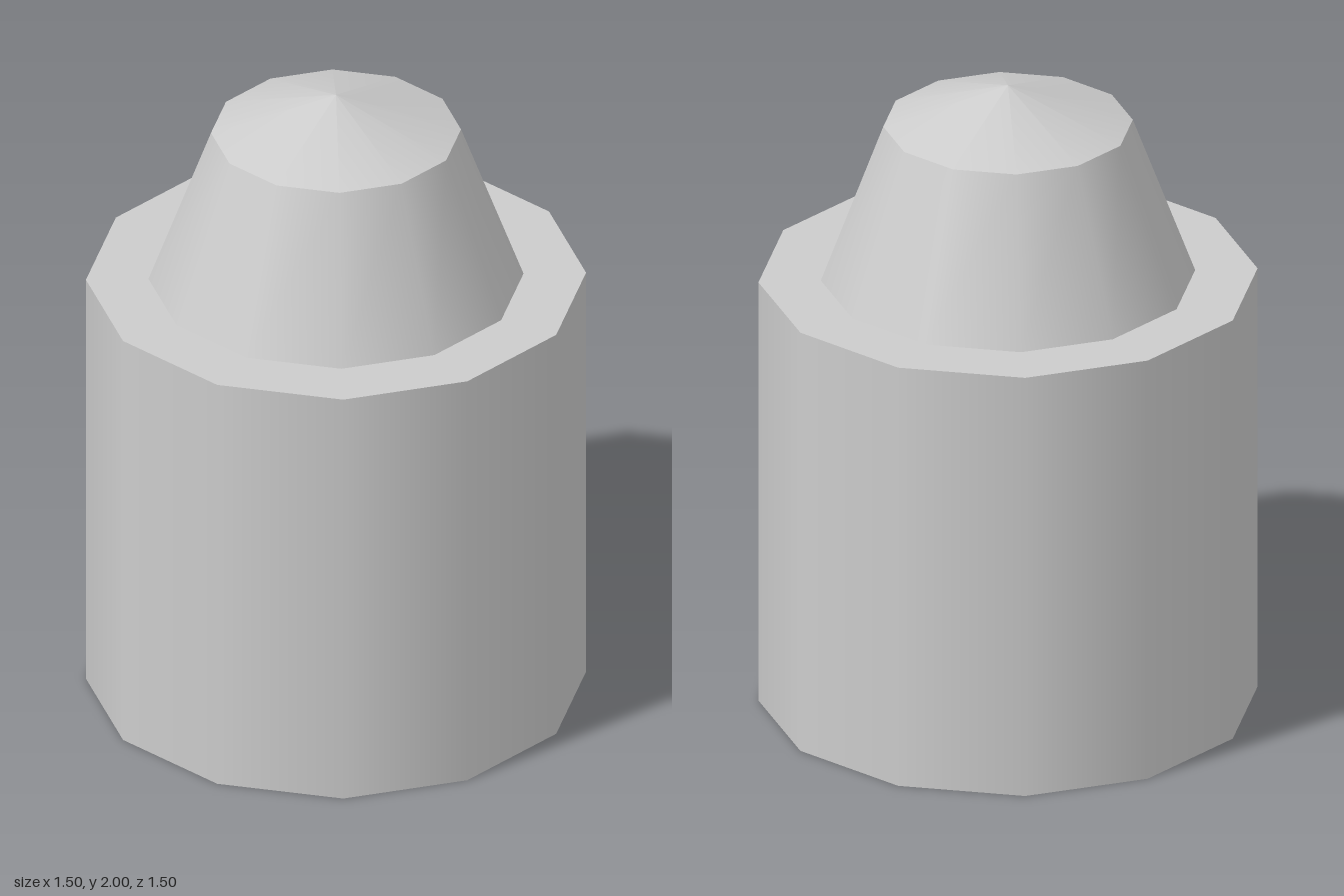
import * as THREE from 'three';

const SIDES = 12;

export function createModel() {
  const group = new THREE.Group();
  const lightGrey = new THREE.MeshStandardMaterial({ color: 0xcccccc });
  lightGrey.name = 'lightGrey';

  // Adds one twelve-sided section standing on height y
  function addSection(name, topRadius, bottomRadius, y, height, openEnded) {
    const geometry = new THREE.CylinderGeometry(topRadius, bottomRadius, height, SIDES, 1, openEnded);
    const mesh = new THREE.Mesh(geometry, lightGrey);
    mesh.name = name;
    mesh.position.y = y + height / 2;
    group.add(mesh);
  }

  // Wide drum with closed ends
  addSection('body', 0.75, 0.75, 0, 1.375, false);
  // Tapered shoulder on the drum
  addSection('taperedNeck', 0.375, 0.5625, 1.375, 0.5, true);
  // Shallow pointed cap
  addSection('pointedCap', 0, 0.375, 1.875, 0.125, true);

  return group;
}
